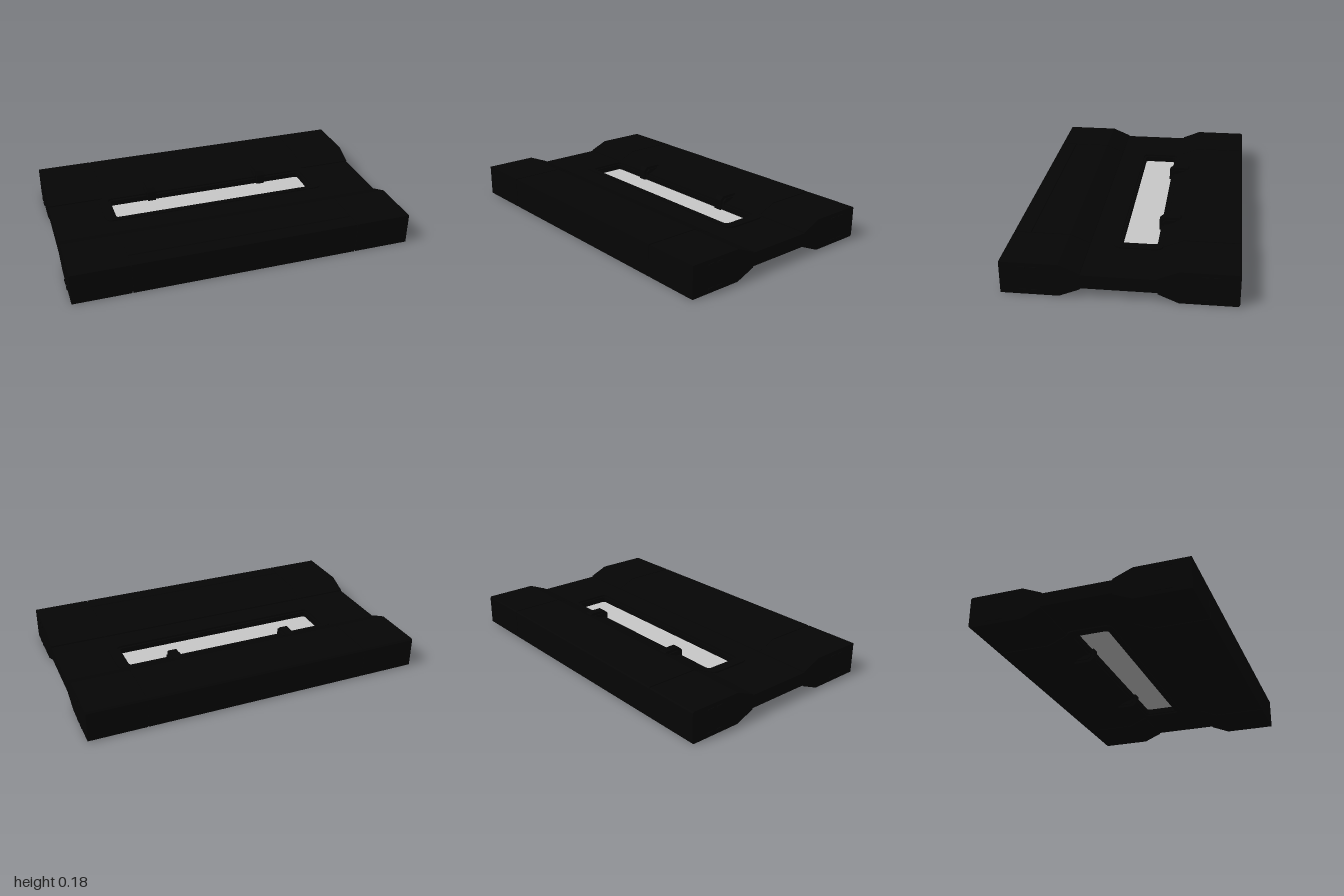
import * as THREE from 'three';

const MID = 0.102; // height of the horizontal symmetry plane

const black = new THREE.MeshStandardMaterial({ color: 0x050505 });
black.name = 'black plastic';
const grey = new THREE.MeshStandardMaterial({ color: 0xc8c8c8 });
grey.name = 'pale grey film';

function add(group, name, geometry, material = black) {
  const mesh = new THREE.Mesh(geometry, material);
  mesh.name = name;
  group.add(mesh);
}

// Mirrors an upper outline of [z, height above MID] and extrudes it along x
function extrudeAcross(outline, x0, x1, side = 1) {
  const upper = outline.map(([z, h]) => new THREE.Vector2(z * side, MID + h));
  const lower = outline.map(([z, h]) => new THREE.Vector2(z * side, MID - h)).reverse();
  const geometry = new THREE.ExtrudeGeometry(new THREE.Shape([...upper, ...lower]), {
    depth: x1 - x0, bevelEnabled: false,
  });
  geometry.rotateY(-Math.PI / 2);
  geometry.translate(x1, 0, 0);
  return geometry;
}

// Rounded rectangle in x and z
function roundedRect(path, x, z0, z1, r) {
  path.moveTo(-x + r, z0);
  path.lineTo(x - r, z0);
  path.quadraticCurveTo(x, z0, x, z0 + r);
  path.lineTo(x, z1 - r);
  path.quadraticCurveTo(x, z1, x - r, z1);
  path.lineTo(-x + r, z1);
  path.quadraticCurveTo(-x, z1, -x, z1 - r);
  path.lineTo(-x, z0 + r);
  path.quadraticCurveTo(-x, z0, -x + r, z0);
  return path;
}

// Horizontal plate with the window opening cut through it
function framePlate(x, z0, z1, r, half, hole) {
  const shape = roundedRect(new THREE.Shape(), x, z0, z1, r);
  shape.holes.push(roundedRect(new THREE.Path(), ...hole));
  const geometry = new THREE.ExtrudeGeometry(shape, {
    depth: half * 2, bevelEnabled: false, curveSegments: 6,
  });
  geometry.rotateX(Math.PI / 2);
  geometry.translate(0, MID + half, 0);
  return geometry;
}

export function createModel() {
  const model = new THREE.Group();
  model.name = 'filmHolder';

  // Thick rails with sloped inner faces; the front one is square, the back one chamfered
  const slope = [[0.2, 0.045], [0.31, 0.091]];
  const frontEnd = [...slope, [0.62, 0.091]];
  const backEnd = [...slope, [0.612, 0.091], [0.62, 0.083]];
  const grooved = [...slope, [0.52, 0.091], [0.522, 0.086], [0.528, 0.086], [0.53, 0.091],
    [0.62, 0.091]];
  const core = [[0.2, 0.041], [0.31, 0.086], [0.612, 0.086], [0.618, 0.08]];
  for (const side of [1, -1]) {
    const prefix = side > 0 ? 'front' : 'back';
    const end = side > 0 ? frontEnd : backEnd;
    add(model, prefix + 'Rail', extrudeAcross(side > 0 ? grooved : backEnd, -0.657, 0.657, side));
    add(model, prefix + 'LeftEndBlock', extrudeAcross(end, 0.664, 0.993, side));
    add(model, prefix + 'RightEndBlock', extrudeAcross(end, -0.993, -0.664, side));
    // Recessed core showing as the seam between rail and end blocks
    for (const x of [-1, 1]) {
      add(model, prefix + 'Seam', extrudeAcross(core, x * 0.66 - 0.008, x * 0.66 + 0.008, side));
    }
  }

  // Thin middle web and the raised frame around the window
  const cutout = [0.635, -0.18, 0.045, 0.03];
  add(model, 'middleWeb', framePlate(0.993, -0.2, 0.2, 0.001, 0.038, cutout));
  add(model, 'windowFrame', framePlate(0.69, -0.2, 0.073, 0.05, 0.046, cutout));
  add(model, 'windowLip', framePlate(0.645, -0.19, 0.055, 0.03, 0.036, [0.62, -0.165, 0.03, 0.02]));

  // Film strip seen through the window
  const film = new THREE.BoxGeometry(1.25, 0.008, 0.205);
  film.translate(0, MID, -0.0675);
  add(model, 'film', film, grey);

  // Two clips gripping the back edge of the frame
  const clip = [[-0.152, 0.063], [-0.175, 0.084], [-0.27, 0.084], [-0.28, 0.076]];
  const clipWing = [[-0.17, 0.055], [-0.19, 0.07], [-0.25, 0.07]];
  for (const x of [-0.36, 0.36]) {
    add(model, 'clip', extrudeAcross(clip, x - 0.024, x + 0.024));
    add(model, 'clipWing', extrudeAcross(clipWing, x - 0.036, x + 0.036));
  }

  // Small grip nubs near the upper and lower edges of the end faces
  for (const x of [-1, 1]) for (const z of [-0.5, -0.44, 0.44, 0.5]) for (const h of [-0.066, 0.066]) {
    const nub = new THREE.BoxGeometry(0.014, 0.01, 0.036);
    nub.translate(x * 0.993, MID + h, z);
    add(model, 'gripNub', nub);
  }
  return model;
}
